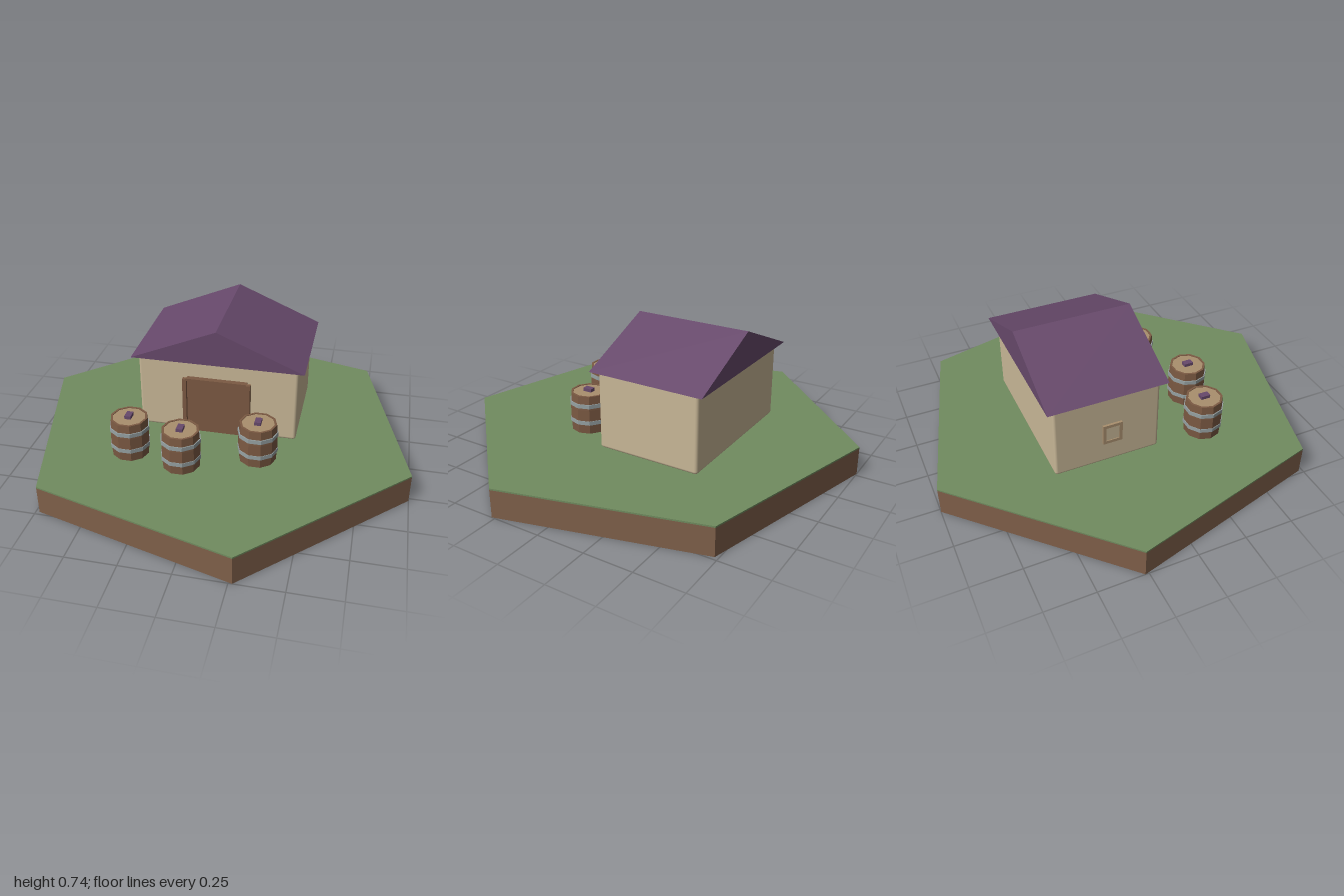
import * as THREE from 'three';
import { RoundedBoxGeometry } from 'three/addons/geometries/RoundedBoxGeometry.js';

const material = (name, color) => Object.assign(new THREE.MeshStandardMaterial({ color }), { name });

const GROUND = 0.15; // height of the grass surface

export function createModel() {
  const grass = material('grass green', 0x718c5f);
  const earth = material('earth brown', 0x80604a);
  const plaster = material('plaster cream', 0xc8b797);
  const purple = material('roof purple', 0x67496b);
  const wood = material('wood brown', 0x7c5a43);
  const paleWood = material('pale wood', 0xa98f6e);
  const iron = material('iron grey', 0x97a2a3);

  const model = new THREE.Group();
  model.name = 'cottageIsland';

  // Faceted normals for low-poly parts
  const flat = (geometry) => {
    const g = geometry.index ? geometry.toNonIndexed() : geometry;
    g.computeVertexNormals();
    return g;
  };
  const add = (parent, name, geometry, mat, x = 0, y = 0, z = 0) => {
    const mesh = new THREE.Mesh(geometry, mat);
    mesh.name = name;
    mesh.position.set(x, y, z);
    parent.add(mesh);
    return mesh;
  };
  const box = (parent, name, mat, w, h, d, x, y, z) =>
    add(parent, name, new THREE.BoxGeometry(w, h, d), mat, x, y, z);
  const group = (parent, name) => {
    const g = new THREE.Group();
    g.name = name;
    parent.add(g);
    return g;
  };

  // Hexagonal island: earth slab with a thin grass layer
  const hexagon = (height) =>
    flat(new THREE.CylinderGeometry(1.035, 1.035, height, 6, 1, false, Math.PI / 12));
  add(model, 'earthSlab', hexagon(0.142), earth, 0, 0.071, 0);
  add(model, 'grassLayer', hexagon(0.008), grass, 0, 0.146, 0);

  // House walls
  const house = group(model, 'house');
  add(house, 'walls', new RoundedBoxGeometry(0.82, 0.405, 0.545, 2, 0.015), plaster,
    0, GROUND + 0.2025, -0.1875);

  // Gable roof with the ridge running front to back
  const gable = new THREE.Shape([
    new THREE.Vector2(-0.442, 0.553),
    new THREE.Vector2(0.442, 0.553),
    new THREE.Vector2(0, 0.738),
  ]);
  add(house, 'roof', flat(new THREE.ExtrudeGeometry(gable, { depth: 0.61, bevelEnabled: false })),
    purple, 0, 0, -0.495);

  // Door with posts and lintel
  const door = group(house, 'door');
  box(door, 'doorPanel', wood, 0.32, 0.3, 0.02, 0, GROUND + 0.15, 0.092);
  for (const side of [-1, 1]) {
    box(door, 'doorPost', wood, 0.02, 0.312, 0.021, side * 0.164, GROUND + 0.156, 0.1115);
    box(door, 'doorPostBacking', paleWood, 0.02, 0.305, 0.02, side * 0.164, GROUND + 0.1525, 0.091);
  }
  box(door, 'doorLintel', wood, 0.31, 0.014, 0.03, 0, GROUND + 0.305, 0.098);

  // Small window on the -x wall
  const win = group(house, 'window');
  win.position.set(-0.41, 0.325, -0.165);
  box(win, 'windowPane', plaster, 0.008, 0.08, 0.07, -0.003, 0, 0);
  for (const side of [-1, 1]) {
    box(win, 'windowJamb', paleWood, 0.024, 0.11, 0.016, 0, 0, side * 0.042);
    box(win, 'windowRail', paleWood, 0.024, 0.016, 0.07, 0, side * 0.047, 0);
  }

  // Ten-sided barrels
  const SIDES = 10;
  const TURN = Math.PI / SIDES;
  const points = (pairs) => pairs.map(([r, y]) => new THREE.Vector2(r, y));
  const lathe = (pairs) => flat(new THREE.LatheGeometry(points(pairs), SIDES, TURN));
  const staves = lathe([
    [0.001, 0.001], [0.093, 0.001], [0.098, 0.07], [0.098, 0.13], [0.093, 0.204],
    [0.082, 0.204], [0.082, 0.19],
  ]);
  const lid = flat(new THREE.CylinderGeometry(0.083, 0.083, 0.012, SIDES, 1, false, TURN));
  const hoop = lathe([[0.09, 0], [0.101, 0], [0.101, 0.021], [0.09, 0.021]]);
  const handle = new THREE.BoxGeometry(0.032, 0.018, 0.048);

  for (const [x, z] of [[-0.385, 0.35], [-0.11, 0.405], [0.245, 0.27]]) {
    const barrel = group(model, 'barrel');
    barrel.position.set(x, GROUND, z);
    add(barrel, 'staves', staves, wood);
    add(barrel, 'lid', lid, paleWood, 0, 0.195, 0);
    add(barrel, 'lidHandle', handle, purple, 0, 0.209, 0);
    for (const y of [0.05, 0.141]) add(barrel, 'hoop', hoop, iron, 0, y, 0);
  }

  return model;
}
